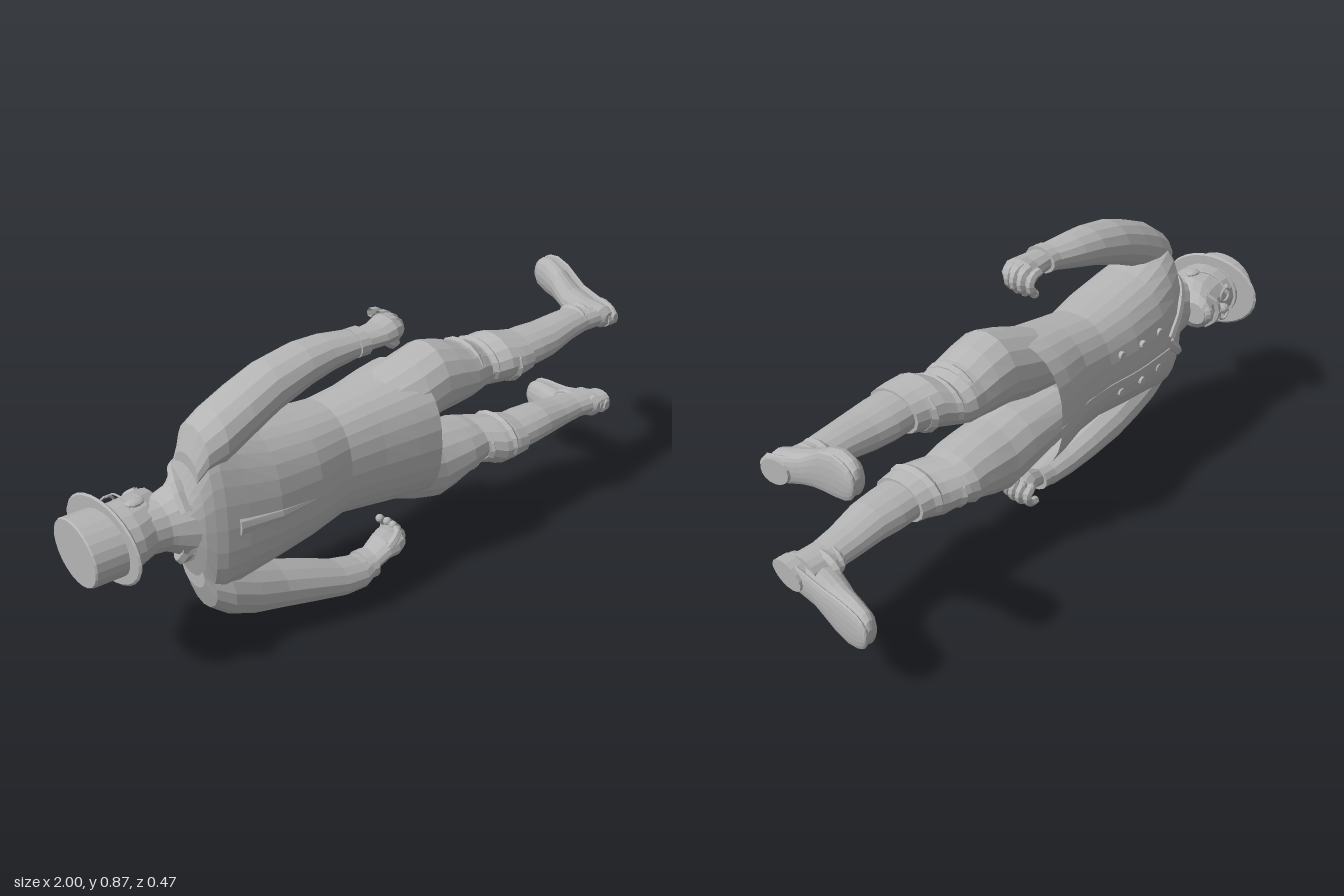
import * as THREE from 'three';

const CY = 0.455; // mid plane of the lying figure (head at -x, feet at +x, face towards -z)
const cloth = new THREE.MeshStandardMaterial({ color: 0xb4b4b4, flatShading: true, side: THREE.DoubleSide });
cloth.name = 'plain grey';

function named(geometry, name, parent) {
  const mesh = new THREE.Mesh(geometry, cloth);
  mesh.name = name;
  parent.add(mesh);
  return mesh;
}

const power = (v, p) => Math.sign(v) * Math.abs(v) ** p;

// Skin of rings [x, yCentre, zCentre, yRadius, zRadius]; a power p below 1 makes the ellipses boxier
function loft(rings, { sides = 16, start = true, end = true, p = 1, map = (x, y, z) => [x, y, z] } = {}) {
  const pos = [], idx = [];
  for (const [x, y, z, ry, rz] of rings) {
    for (let j = 0; j < sides; j++) {
      const a = (j / sides) * Math.PI * 2;
      pos.push(...map(x, y + ry * power(Math.cos(a), p), z + rz * power(Math.sin(a), p)));
    }
  }
  for (let i = 0; i < rings.length - 1; i++) {
    for (let j = 0; j < sides; j++) {
      const k = (j + 1) % sides, a = i * sides, b = a + sides;
      idx.push(a + j, a + k, b + k, a + j, b + k, b + j);
    }
  }
  const cap = (i, flip) => {
    const c = pos.length / 3;
    pos.push(...map(...rings[i].slice(0, 3)));
    for (let j = 0; j < sides; j++) {
      const m = i * sides + j, n = i * sides + ((j + 1) % sides);
      idx.push(c, flip ? n : m, flip ? m : n);
    }
  };
  if (start) cap(0, true);
  if (end) cap(rings.length - 1, false);
  const g = new THREE.BufferGeometry();
  g.setAttribute('position', new THREE.Float32BufferAttribute(pos, 3));
  g.setIndex(idx);
  g.computeVertexNormals();
  return g;
}

function tube(points, radius, segments = 8, sides = 6) {
  const curve = new THREE.CatmullRomCurve3(points.map((v) => new THREE.Vector3(...v)));
  return new THREE.TubeGeometry(curve, segments, radius, sides);
}

function ball(name, parent, [x, y, z], [sx, sy, sz]) {
  const m = named(new THREE.SphereGeometry(1, 10, 7), name, parent);
  m.position.set(x, y, z);
  m.scale.set(sx, sy, sz);
}

function buildHead() {
  const head = new THREE.Group();
  head.name = 'head';
  named(loft([
    [-0.91, CY, 0.05, 0.088, 0.112], [-0.84, CY, 0.046, 0.088, 0.113], [-0.78, CY, 0.027, 0.085, 0.103],
    [-0.73, CY, -0.007, 0.068, 0.083], [-0.705, CY, -0.035, 0.038, 0.045],
  ]), 'skull', head);
  named(loft([[-0.8, CY, 0.06, 0.075, 0.075], [-0.66, CY, 0.07, 0.085, 0.08]]), 'neck', head);

  // Round hat with a slightly tilted brim
  named(loft([
    [-1, CY, 0.05, 0.092, 0.118], [-0.995, CY, 0.05, 0.095, 0.122], [-0.9, CY, 0.05, 0.095, 0.122],
  ], { sides: 24 }), 'hatCrown', head);
  const tilt = (x, y, z) => [x + (z - 0.035) * 0.1, y, z];
  named(loft([
    [-0.91, CY, 0.035, 0.12, 0.17], [-0.905, CY, 0.035, 0.126, 0.176], [-0.899, CY, 0.035, 0.12, 0.17],
  ], { sides: 28, map: tilt }), 'hatBrim', head);

  ball('nose', head, [-0.8, CY, -0.083], [0.03, 0.016, 0.024]);
  ball('chin', head, [-0.73, CY, -0.068], [0.026, 0.034, 0.028]);
  for (const s of [-1, 1]) {
    ball('ear', head, [-0.81, CY + s * 0.088, 0.05], [0.03, 0.01, 0.02]);
    ball('eyebrow', head, [-0.862, CY + s * 0.035, -0.055], [0.008, 0.025, 0.013]);
    const lens = named(new THREE.TorusGeometry(0.024, 0.004, 6, 14), 'spectacleRim', head);
    lens.position.set(-0.835, CY + s * 0.034, -0.07);
    named(tube([[-0.835, CY + s * 0.056, -0.068], [-0.835, CY + s * 0.09, -0.02], [-0.825, CY + s * 0.092, 0.05]], 0.003), 'spectacleArm', head);
    named(tube([[-0.775, CY, -0.085], [-0.77, CY + s * 0.03, -0.078], [-0.75, CY + s * 0.055, -0.05]], 0.012), 'moustache', head);
  }
  return head;
}

function buildCoat() {
  const coat = new THREE.Group();
  coat.name = 'coat';
  // Bodice and skirt, open at the hem, which hangs lower at the back
  const hem = (x, y, z) => [x + Math.max(0, x) * (z - 0.025) * 0.5, y, z];
  named(loft([
    [-0.715, CY, 0.068, 0.085, 0.08], [-0.69, CY, 0.078, 0.125, 0.088], [-0.67, CY, 0.087, 0.185, 0.096],
    [-0.645, CY, 0.088, 0.255, 0.108], [-0.615, CY, 0.08, 0.268, 0.128], [-0.55, CY, 0.07, 0.248, 0.15],
    [-0.45, CY, 0.063, 0.218, 0.17], [-0.3, CY, 0.05, 0.195, 0.17], [-0.17, CY, 0.035, 0.18, 0.15],
    [-0.05, CY, 0.035, 0.195, 0.158], [0.06, CY, 0.027, 0.21, 0.18], [0.135, CY, 0.025, 0.22, 0.19],
  ], { sides: 28, end: false, p: 0.85, map: hem }), 'bodiceAndSkirt', coat);
  named(loft([[-0.12, CY, 0.035, 0.17, 0.14], [-0.04, CY, 0.035, 0.19, 0.153]],
    { sides: 28, start: false, p: 0.85 }), 'hips', coat);

  // Collar, lapels, front edge and back pleat
  named(loft([[-0.755, CY, 0.06, 0.077, 0.077], [-0.735, CY, 0.062, 0.087, 0.085], [-0.68, CY, 0.077, 0.12, 0.1]],
    { start: false, end: false }), 'collar', coat);
  for (const s of [-1, 1]) {
    named(tube([[-0.705, CY + s * 0.06, 0.145], [-0.695, CY + s * 0.125, 0.078], [-0.645, CY + s * 0.12, -0.01],
      [-0.57, CY + s * 0.07, -0.065], [-0.49, CY + s * 0.01, -0.092]], 0.018, 14), 'lapel', coat);
    for (const [x, z] of [[-0.42, -0.105], [-0.32, -0.117], [-0.22, -0.112]]) {
      const b = named(new THREE.CylinderGeometry(0.013, 0.015, 0.012, 10), 'button', coat);
      b.rotation.x = -Math.PI / 2;
      b.position.set(x, CY + s * 0.065, z);
    }
  }
  named(tube([[-0.48, CY - 0.02, -0.104], [-0.3, CY - 0.02, -0.119], [-0.17, CY - 0.02, -0.114],
    [-0.05, CY - 0.02, -0.122], [0.12, CY - 0.02, -0.163]], 0.003, 14), 'frontEdge', coat);
  named(loft([[-0.58, CY, 0.212, 0.028, 0.012], [-0.45, CY, 0.225, 0.022, 0.013], [-0.29, CY, 0.21, 0.003, 0.008]],
    { sides: 8 }), 'backPleat', coat);
  return coat;
}

// Sleeve rings; the fist curls towards the body
function buildArm(name, rings, hx, hy, s) {
  const arm = new THREE.Group();
  arm.name = name;
  named(loft(rings, { sides: 14 }), 'sleeve', arm);
  const [cx, cy, cz, ry, rz] = rings[rings.length - 1];
  named(loft([[cx - 0.03, cy, cz, ry + 0.006, rz + 0.006], [cx + 0.005, cy, cz, ry + 0.006, rz + 0.006]], { sides: 14 }), 'cuff', arm);
  named(loft([
    [cx - 0.01, cy, cz, 0.032, 0.044], [hx - 0.06, hy, 0.093, 0.034, 0.056],
    [hx - 0.02, hy + s * 0.002, 0.08, 0.039, 0.064], [hx + 0.012, hy, 0.07, 0.034, 0.058],
    [hx + 0.028, hy, 0.062, 0.018, 0.048],
  ], { sides: 12 }), 'palm', arm);
  for (let i = 0; i < 4; i++) {
    const z = 0.008 + i * 0.029, r = hx + (i === 1 || i === 2 ? 0.008 : 0);
    named(tube([[r - 0.02, hy + s * 0.026, z], [r + 0.014, hy + s * 0.018, z - 0.002],
      [r + 0.025, hy - s * 0.012, z - 0.004], [r + 0.006, hy - s * 0.036, z - 0.004]], 0.014), 'finger', arm);
    ball('fingertip', arm, [r + 0.006, hy - s * 0.036, z - 0.004], [0.014, 0.014, 0.014]);
  }
  named(tube([[hx - 0.06, hy - s * 0.01, 0.128], [hx - 0.03, hy - s * 0.03, 0.125], [hx, hy - s * 0.038, 0.105]], 0.014), 'thumb', arm);
  return arm;
}

function buildLeg(name, s) {
  const leg = new THREE.Group();
  leg.name = name;
  const out = (rows) => rows.map(([x, d, ...rest]) => [x, CY + s * d, ...rest]);
  named(loft(out([
    [-0.05, 0.095, 0.035, 0.085, 0.11], [0.14, 0.13, 0.045, 0.115, 0.125], [0.22, 0.15, 0.043, 0.118, 0.122],
    [0.29, 0.145, 0.04, 0.105, 0.12], [0.35, 0.138, 0.037, 0.088, 0.118], [0.39, 0.138, 0.03, 0.082, 0.115],
    [0.42, 0.135, 0.03, 0.07, 0.107], [0.48, 0.15, 0.057, 0.08, 0.108], [0.53, 0.148, 0.068, 0.072, 0.103],
    [0.57, 0.15, 0.07, 0.064, 0.098],
  ])), 'breeches', leg);
  named(loft(out([
    [0.55, 0.15, 0.07, 0.058, 0.085], [0.63, 0.15, 0.064, 0.058, 0.085], [0.7, 0.15, 0.06, 0.055, 0.078],
    [0.8, 0.16, 0.048, 0.046, 0.066], [0.88, 0.163, 0.04, 0.041, 0.06], [0.96, 0.165, 0.042, 0.042, 0.06],
  ])), 'bootShaft', leg);
  for (const [x, z, r] of [[0.375, 0.034, 0.086], [0.435, 0.037, 0.073], [0.51, 0.063, 0.077]]) {
    named(loft(out([[x - 0.014, 0.142, z, r - 0.006, 0.1], [x, 0.143, z, r + 0.002, 0.112],
      [x + 0.016, 0.145, z, r - 0.008, 0.1]])), 'kneeFold', leg);
  }
  for (const [x, z, rz] of [[0.868, 0.035, 0.065], [0.9, 0.023, 0.075]]) {
    named(loft(out([[x - 0.014, 0.164, z, 0.038, rz - 0.01], [x, 0.166, z, 0.045, rz],
      [x + 0.014, 0.168, z, 0.038, rz - 0.01]])), 'ankleFold', leg);
  }

  // Shoe rings run from heel to toe: [distance, sideways, height, half width, half height]
  const map = (t, y, h) => [h, y, -t];
  named(loft(out([
    [-0.108, 0.165, 0.965, 0.02, 0.02], [-0.09, 0.167, 0.955, 0.038, 0.035], [-0.03, 0.176, 0.935, 0.042, 0.05],
    [0.03, 0.194, 0.928, 0.043, 0.05], [0.07, 0.212, 0.931, 0.047, 0.045], [0.1, 0.224, 0.936, 0.054, 0.041],
    [0.155, 0.235, 0.943, 0.061, 0.036], [0.2, 0.237, 0.949, 0.052, 0.031], [0.22, 0.237, 0.955, 0.038, 0.024],
    [0.23, 0.237, 0.962, 0.016, 0.014],
  ]), { map }), 'shoe', leg);
  named(loft(out([
    [-0.118, 0.165, 0.985, 0.015, 0.012], [-0.1, 0.166, 0.985, 0.034, 0.014], [-0.03, 0.176, 0.982, 0.041, 0.014],
    [0.03, 0.196, 0.976, 0.041, 0.012], [0.07, 0.214, 0.974, 0.05, 0.012], [0.105, 0.227, 0.973, 0.06, 0.012],
    [0.155, 0.236, 0.975, 0.064, 0.012], [0.195, 0.237, 0.977, 0.057, 0.012], [0.218, 0.237, 0.978, 0.044, 0.011],
    [0.23, 0.237, 0.978, 0.028, 0.009], [0.235, 0.237, 0.978, 0.012, 0.006],
  ]), { map }), 'sole', leg);
  // Heel block follows the turned-out foot
  const turn = (x, y, z) => [x, y - s * (z - 0.055) * 0.2, z];
  named(loft(out([[0.96, 0.167, 0.057, 0.038, 0.057], [1, 0.167, 0.057, 0.038, 0.057]]), { map: turn }), 'heel', leg);
  return leg;
}

export function createModel() {
  const model = new THREE.Group();
  model.name = 'lyingFigure';
  model.add(buildHead(), buildCoat());
  model.add(buildArm('upperArm', [
    [-0.672, 0.62, 0.1, 0.05, 0.06], [-0.645, 0.672, 0.1, 0.075, 0.08], [-0.59, 0.702, 0.105, 0.085, 0.09],
    [-0.5, 0.745, 0.1, 0.08, 0.09], [-0.4, 0.784, 0.09, 0.075, 0.085], [-0.28, 0.815, 0.085, 0.063, 0.078],
    [-0.2, 0.825, 0.085, 0.054, 0.068], [-0.08, 0.833, 0.098, 0.036, 0.052],
  ], 0.05, 0.834, 1));
  model.add(buildArm('lowerArm', [
    [-0.672, 0.29, 0.1, 0.05, 0.06], [-0.645, 0.238, 0.1, 0.075, 0.08], [-0.59, 0.205, 0.105, 0.085, 0.09],
    [-0.5, 0.165, 0.105, 0.082, 0.09], [-0.4, 0.13, 0.1, 0.075, 0.085], [-0.28, 0.095, 0.105, 0.066, 0.08],
    [-0.18, 0.066, 0.112, 0.056, 0.073], [-0.1, 0.055, 0.113, 0.048, 0.065], [-0.05, 0.062, 0.105, 0.038, 0.053],
  ], 0.07, 0.09, -1));
  model.add(buildLeg('upperLeg', 1), buildLeg('lowerLeg', -1));
  return model;
}
